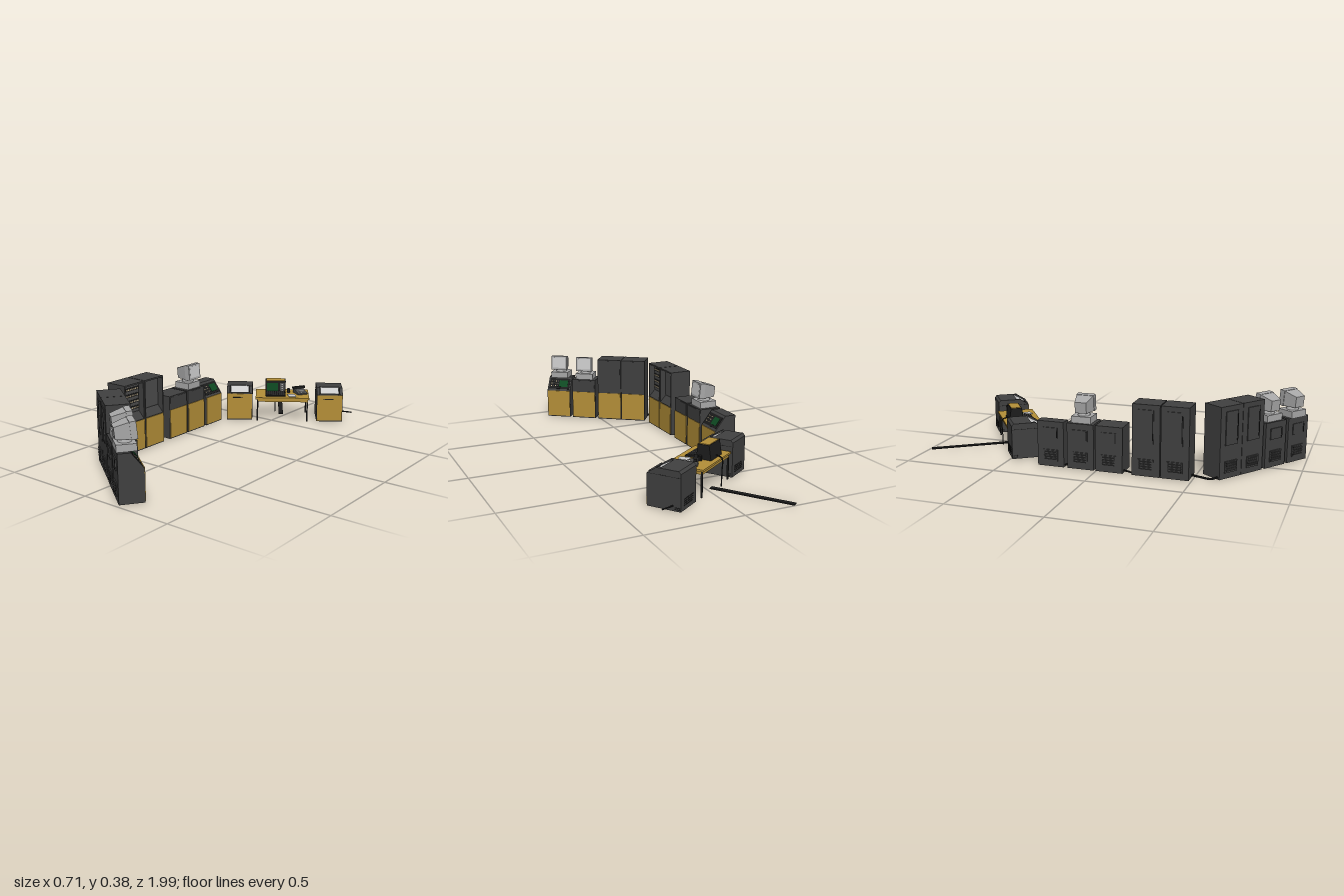
import * as THREE from 'three';

const mat = (color) => new THREE.MeshStandardMaterial({ color, flatShading: true });
const DARK = mat(0x404040), BLACK = mat(0x1c1c1c), PANEL = mat(0x4c4c4c), GOLD = mat(0xb48f38);
const GREY = mat(0xa8a8a8), PALE = mat(0xd4d4d4), GREEN = mat(0x0f4a22), LAMP = mat(0xb8a888);
const BASE = 0.005;

function add(parent, name, geo, material, x = 0, y = 0, z = 0) {
  const m = new THREE.Mesh(geo, material);
  m.name = name;
  m.position.set(x, y, z);
  parent.add(m);
  return m;
}
// box placed by the centre of its underside
function box(parent, name, w, h, d, x, y, z, material) {
  return add(parent, name, new THREE.BoxGeometry(w, h, d), material, x, y + h / 2, z);
}
// side profile of [z, y] points, swept across the width
function prism(parent, name, pts, w, material, x = 0) {
  const shape = new THREE.Shape(pts.map((p) => new THREE.Vector2(...p)));
  const geo = new THREE.ExtrudeGeometry(shape, { depth: w, bevelEnabled: false });
  geo.rotateY(-Math.PI / 2).translate(w / 2, 0, 0);
  return add(parent, name, geo, material, x);
}
function tube(parent, name, pts, r, material) {
  const curve = new THREE.CatmullRomCurve3(pts.map((p) => new THREE.Vector3(...p)));
  return add(parent, name, new THREE.TubeGeometry(curve, 16, r, 6), material);
}
function unit(parent, name, x, z, deg) {
  const g = new THREE.Group();
  g.name = name;
  g.position.set(x, 0, z);
  g.rotation.y = THREE.MathUtils.degToRad(deg);
  parent.add(g);
  return g;
}

// louvred vent on a back face
function vent(g, y, z, w = 0.08) {
  box(g, 'ventFrame', w, 0.06, 0.006, 0, y, z, DARK);
  for (let i = 0; i < 4; i++) {
    box(g, 'ventSlot', w * 0.84, 0.008, 0.002, 0, y + 0.007 + i * 0.013, z - 0.003, BLACK);
    box(g, 'ventLouvre', w * 0.84, 0.003, 0.005, 0, y + 0.014 + i * 0.013, z - 0.004, DARK);
  }
}

// tapered monitor on a box-shaped stand
function monitor(g, z) {
  const m = new THREE.Group();
  m.name = 'monitor';
  m.position.set(0, 0.245, z);
  g.add(m);
  box(m, 'monitorBase', 0.105, 0.035, 0.095, 0, 0, 0, GREY);
  add(m, 'monitorNeck', new THREE.CylinderGeometry(0.026, 0.034, 0.018, 12), GREY, 0, 0.043, 0);
  const head = new THREE.Group();
  head.name = 'monitorHead';
  head.position.set(0, 0.09, 0);
  head.rotation.x = -0.1;
  m.add(head);
  box(head, 'bezel', 0.095, 0.084, 0.03, 0, -0.042, 0.035, GREY);
  box(head, 'screen', 0.078, 0.064, 0.002, 0, -0.03, 0.05, PALE);
  const shell = new THREE.BoxGeometry(0.09, 0.08, 0.07);
  const p = shell.attributes.position;
  for (let i = 0; i < p.count; i++) {
    if (p.getZ(i) < 0) p.setXYZ(i, p.getX(i) * 0.68, p.getY(i) * 0.72 - 0.004, p.getZ(i));
  }
  shell.computeVertexNormals();
  add(head, 'monitorShell', shell, GREY, 0, 0, -0.015);
}

// kind: 'plain' | 'console' | 'recess'
function cabinet(root, x, z, deg, top, kind, name) {
  const g = unit(root, name, x, z, deg);
  const w = 0.144, f = 0.06, b = -0.06;
  const outline = [[b, BASE], [f, BASE], [f, top], [b, top]];
  if (kind === 'console') {
    prism(g, 'consoleBody', [[b, BASE], [f, BASE], [f, 0.168], [0, top], [b, top]], w, DARK);
    const panel = new THREE.Group();
    panel.name = 'slopedPanel';
    panel.position.set(0, 0.2065, 0.03);
    panel.rotation.x = -Math.atan2(0.06, 0.077);
    g.add(panel);
    box(panel, 'panelFace', 0.128, 0.07, 0.003, 0, -0.035, 0.001, BLACK);
    box(panel, 'greenScreen', 0.054, 0.044, 0.003, 0.025, -0.022, 0.003, GREEN);
    for (let r = 0; r < 3; r++) for (let c = 0; c < 4; c++) {
      box(panel, 'button', 0.007, 0.006, 0.004, -0.05 + c * 0.013, -0.019 + r * 0.016, 0.003, c % 2 ? PANEL : LAMP);
    }
  } else if (kind === 'recess') {
    prism(g, 'body', [[b, BASE], [f, BASE], [f, 0.172], [0.025, 0.21], [0.025, top - 0.008], [f, top - 0.008],
      [f, top], [b, top]], w - 0.012, DARK);
    for (const s of [-1, 1]) prism(g, 'sidePlate', outline, 0.006, DARK, s * (w / 2 - 0.003));
    box(g, 'recessPanel', 0.128, 0.148, 0.003, 0, 0.215, 0.026, PANEL);
  } else {
    prism(g, 'body', outline, w, DARK);
    box(g, 'upperPanel', w - 0.01, top - 0.182, 0.003, 0, 0.176, f, DARK);
  }
  box(g, 'frontDoor', w - 0.006, 0.158, 0.004, 0, 0.011, f + 0.001, GOLD);
  // back hatch with handle, and vent
  const y0 = top > 0.3 ? 0.177 : 0.155, h = top > 0.3 ? 0.172 : 0.058;
  box(g, 'backHatch', 0.08, h, 0.006, 0, y0, b - 0.002, DARK);
  box(g, 'hatchHandle', 0.004, h * 0.8, 0.004, -0.036, y0 + h * 0.1, b - 0.006, BLACK);
  vent(g, 0.035, b - 0.002);
  return g;
}

// printer with sloping hood and paper tray
function printer(root, x, z) {
  const g = unit(root, 'printer', x, z, 35);
  const w = 0.15, f = 0.0875;
  prism(g, 'printerBody', [[-f, BASE], [f, BASE], [f, 0.165], [-f, 0.165]], w, DARK);
  for (const s of [-1, 1]) {
    prism(g, 'hoodSide', [[-f, 0.165], [f, 0.165], [0.04, 0.197], [-f + 0.012, 0.197], [-f, 0.185]], 0.018, DARK, s * (w / 2 - 0.009));
  }
  prism(g, 'hood', [[-f, 0.165], [0.02, 0.165], [0.02, 0.197], [-f + 0.012, 0.197], [-f, 0.185]], w - 0.036, DARK);
  prism(g, 'paper', [[0.02, 0.165], [0.078, 0.165], [0.025, 0.194], [0.02, 0.194]], w - 0.044, PALE);
  box(g, 'hoodLip', w - 0.03, 0.008, 0.01, 0, 0.163, 0.082, DARK);
  box(g, 'frontDoor', w - 0.006, 0.152, 0.004, 0, 0.011, f, GOLD);
  box(g, 'doorHandle', 0.06, 0.004, 0.005, -0.01, 0.138, f + 0.002, BLACK);
  box(g, 'lidSeam', w + 0.001, 0.002, 0.17, 0, 0.164, 0, BLACK);
  for (let i = 0; i < 4; i++) box(g, 'backSlot', 0.09, 0.005, 0.003, 0, 0.025 + i * 0.01, -f, BLACK);
  for (let i = 0; i < 2; i++) box(g, 'sideSlot', w + 0.002, 0.004, 0.025, 0, 0.012 + i * 0.008, -0.07, BLACK);
  return g;
}

function desk(root) {
  const g = unit(root, 'desk', 0.014, -0.587, 35);
  box(g, 'deskTop', 0.312, 0.01, 0.2, 0, 0.137, 0, GOLD);
  for (const s of [-1, 1]) {
    box(g, 'longApron', 0.296, 0.016, 0.006, 0, 0.121, s * 0.09, GOLD);
    box(g, 'sideApron', 0.006, 0.016, 0.18, s * 0.146, 0.121, 0, GOLD);
    for (const t of [-1, 1]) box(g, 'deskLeg', 0.008, 0.132, 0.008, s * 0.145, BASE, t * 0.089, BLACK);
  }
  // terminal
  const t = new THREE.Group();
  t.name = 'terminal';
  t.position.set(-0.04, 0.147, -0.035);
  g.add(t);
  prism(t, 'terminalCase', [[-0.04, 0], [0.04, 0], [0.032, 0.075], [-0.028, 0.075]], 0.12, BLACK);
  box(t, 'terminalLid', 0.11, 0.004, 0.054, 0, 0.074, 0.001, GOLD);
  const face = new THREE.Group();
  face.name = 'terminalFace';
  face.position.set(0, 0.038, 0.037);
  face.rotation.x = -0.106;
  t.add(face);
  box(face, 'greenScreen', 0.066, 0.052, 0.003, -0.018, -0.026, 0, GREEN);
  box(face, 'controlStrip', 0.026, 0.054, 0.003, 0.04, -0.027, 0, PANEL);
  for (let i = 0; i < 4; i++) box(face, 'knob', 0.008, 0.006, 0.006, 0.04, -0.022 + i * 0.012, 0.002, GREY);
  // keyboard
  prism(g, 'keyboard', [[0.006, 0.147], [0.066, 0.147], [0.066, 0.153], [0.006, 0.163]], 0.115, BLACK, -0.04);
  for (let r = 0; r < 4; r++) for (let c = 0; c < 9; c++) {
    box(g, 'key', 0.008, 0.005, 0.009, -0.086 + c * 0.0115, 0.1595 - r * 0.0022, 0.016 + r * 0.013, PANEL);
  }
  // telephone, cup and papers
  const phone = unit(g, 'telephone', 0.108, -0.012, 25);
  prism(phone, 'phoneBody', [[-0.035, 0.147], [0.035, 0.147], [0.035, 0.153], [-0.02, 0.172], [-0.035, 0.172]], 0.06, PANEL);
  box(phone, 'handset', 0.078, 0.012, 0.017, 0, 0.173, -0.022, BLACK);
  box(phone, 'dial', 0.026, 0.008, 0.026, 0, 0.156, 0.012, GREY);
  add(g, 'cup', new THREE.CylinderGeometry(0.01, 0.009, 0.024, 10), BLACK, 0.038, 0.159, -0.026);
  const notes = box(g, 'papers', 0.042, 0.004, 0.054, 0.055, 0.147, 0.05, PALE);
  notes.rotation.y = 0.2;
  tube(g, 'terminalCable', [[-0.04, 0.16, -0.072], [-0.04, 0.15, -0.104], [-0.04, 0.08, -0.106], [-0.04, 0.004, -0.104]], 0.003, BLACK);
}

export function createModel() {
  const root = new THREE.Group();
  root.name = 'computerRoom';
  // straight row, facing +x
  cabinet(root, -0.29, -0.243, 90, 0.245, 'console', 'endConsole');
  monitor(cabinet(root, -0.29, -0.08, 90, 0.245, 'plain', 'monitorCabinet'), 0);
  cabinet(root, -0.29, 0.074, 90, 0.245, 'plain', 'lowCabinet');
  cabinet(root, -0.29, 0.268, 90, 0.375, 'recess', 'tallCabinet');
  const lamps = cabinet(root, -0.29, 0.417, 90, 0.375, 'recess', 'lampCabinet');
  for (let r = 0; r < 4; r++) {
    box(lamps, 'lampRow', 0.122, 0.018, 0.004, 0, 0.227 + r * 0.034, 0.028, BLACK);
    for (let c = 0; c < 9; c++) box(lamps, 'lamp', 0.008, 0.007, 0.005, -0.052 + c * 0.013, 0.232 + r * 0.034, 0.029, LAMP);
  }
  // angled row
  cabinet(root, -0.195, 0.623, 144, 0.375, 'plain', 'tallCabinet');
  cabinet(root, -0.076, 0.709, 144, 0.375, 'plain', 'tallCabinet');
  monitor(cabinet(root, 0.054, 0.805, 144, 0.245, 'plain', 'monitorCabinet'), 0);
  monitor(cabinet(root, 0.184, 0.9, 144, 0.245, 'console', 'endConsole'), -0.014);
  // desk between two printers
  printer(root, -0.198, -0.453);
  printer(root, 0.24, -0.745);
  desk(root);
  // floor cables
  tube(root, 'cable', [[-0.28, 0.015, 0.48], [-0.3, 0.015, 0.54], [-0.312, 0.015, 0.59], [-0.275, 0.015, 0.62]], 0.006, BLACK);
  tube(root, 'cable', [[-0.325, 0.015, 0.13], [-0.33, 0.015, 0.17], [-0.345, 0.015, 0.2], [-0.33, 0.015, 0.22]], 0.005, BLACK);
  tube(root, 'cable', [[-0.325, 0.015, -0.14], [-0.33, 0.015, -0.16], [-0.325, 0.015, -0.18]], 0.005, BLACK);
  tube(root, 'printerCable', [[0.25, 0.03, -0.815], [0.29, 0.03, -0.832], [0.342, 0.03, -0.847]], 0.004, BLACK);
  // flat cable duct running away from the desk
  const duct = box(root, 'cableDuct', 0.026, 0.006, 0.43, -0.15, 0, -0.815, BLACK);
  duct.rotation.y = THREE.MathUtils.degToRad(35);
  return root;
}
